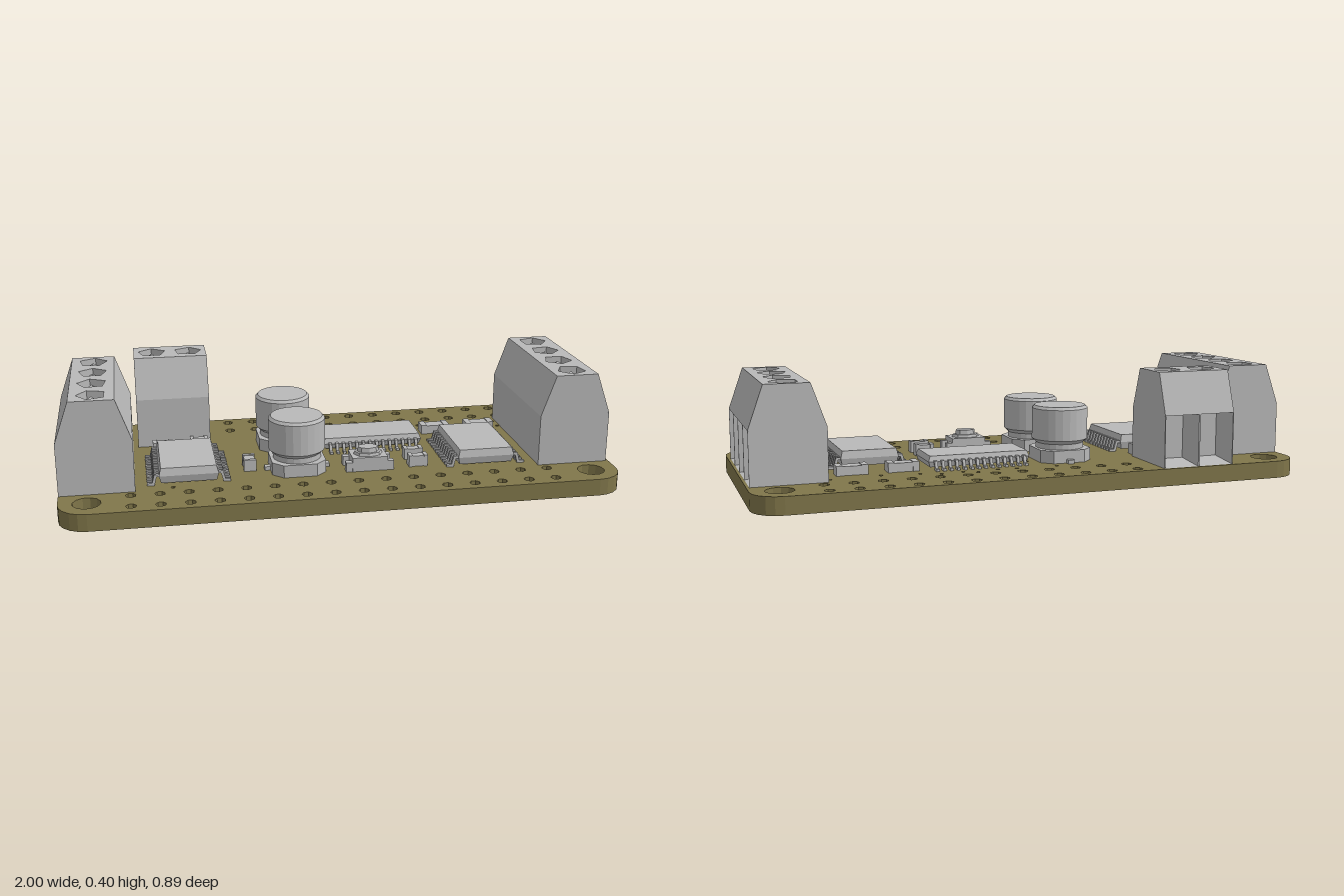
import * as THREE from 'three';
import { mergeGeometries } from 'three/addons/utils/BufferGeometryUtils.js';

const TOP = 0.062; // upper surface of the board
const PITCH = 0.1375; // spacing of the terminal ways

// Faceted normals on every part
function flat(geo) {
  const g = geo.index ? geo.toNonIndexed() : geo;
  g.computeVertexNormals();
  return g;
}

function mesh(name, geo, mat) {
  const m = new THREE.Mesh(flat(geo), mat);
  m.name = name;
  return m;
}

const poly = (pts) => new THREE.Shape(pts.map(([x, y]) => new THREE.Vector2(x, y)));
const extrude = (shape, depth) => new THREE.ExtrudeGeometry(shape, { depth, bevelEnabled: false });
// Plan outline (x, -z) raised from height y0 to y1
const raise = (shape, y0, y1) => extrude(shape, y1 - y0).rotateX(-Math.PI / 2).translate(0, y0, 0);

function ring(x, z, r, n, phase = 0.3) {
  return Array.from({ length: n }, (_, i) => {
    const a = phase + (i / n) * Math.PI * 2;
    return [x + r * Math.cos(a), -z + r * Math.sin(a)];
  });
}

function makeBoard(mat) {
  const w = 0.998, d = 0.447, r = 0.1, outline = [];
  [[1, 1], [-1, 1], [-1, -1], [1, -1]].forEach(([sx, sy], q) => {
    for (let i = 0; i <= 5; i++) {
      const a = (q + i / 5) * Math.PI / 2;
      outline.push([sx * (w - r) + r * Math.cos(a), sy * (d - r) + r * Math.sin(a)]);
    }
  });
  const shape = poly(outline);
  const hole = (x, z, rad, n) => shape.holes.push(poly(ring(x, z, rad, n)));
  // Mounting holes
  for (const x of [-0.9, 0.9]) for (const z of [-0.35, 0.35]) hole(x, z, 0.049, 12);
  // Header rows
  for (let i = 0; i < 16; i++) {
    const x = -0.752 + i * 0.1;
    for (const z of [0.305, 0.4]) hole(x, z, 0.019, 7);
    if (i > 3) for (const z of [-0.405, -0.31]) hole(x, z, 0.019, 7);
  }
  // Vias
  const vias = [[-0.1, -0.26], [-0.03, -0.14], [0.05, -0.255], [0.12, -0.25], [0.2, -0.275], [0.25, -0.255],
    [0.33, -0.265], [0.4, -0.24], [0.535, -0.22], [0.715, -0.235], [0.715, -0.18],
    [0.06, 0.09], [0.115, 0.1], [0.165, 0.085], [-0.605, 0.255]];
  vias.forEach(([x, z]) => hole(x, z, 0.008, 5));
  return mesh('circuitBoard', raise(shape, 0, TOP), mat);
}

// Screw terminal with wire openings towards local +x
function makeTerminal(name, ways, mat) {
  const g = new THREE.Group(), L = ways * PITCH, out = 0.131, back = 0.03;
  g.name = name;
  const body = extrude(poly([[-out, TOP], [out, TOP], [back, 0.078], [back, 0.24], [out, 0.25],
    [0.0886, 0.37], [-0.0886, 0.37], [-out, 0.25]]), L).translate(0, 0, -L / 2);
  g.add(mesh('terminalBody', body, mat));

  // Top slab with faceted screw wells, narrowing upwards
  const slab = poly([[-0.0886, -L / 2], [0.0886, -L / 2], [0.0886, L / 2], [-0.0886, L / 2]]);
  const screws = [];
  for (let i = 0; i < ways; i++) {
    const z = (i - (ways - 1) / 2) * PITCH;
    slab.holes.push(poly(ring(0, z, 0.053, 5, i * 1.1)));
    screws.push(new THREE.ConeGeometry(0.045, 0.026, 3).rotateY(i * 1.7).translate(0, 0.382, z));
  }
  const cap = raise(slab, 0.37, 0.4), p = cap.attributes.position;
  for (let i = 0; i < p.count; i++) {
    if (p.getY(i) > 0.39 && Math.abs(p.getX(i)) > 0.075) p.setX(i, Math.sign(p.getX(i)) * 0.078);
  }
  g.add(mesh('terminalTop', cap, mat), mesh('screws', mergeGeometries(screws), mat));

  // Tapered walls between the wire openings
  const walls = [];
  for (let i = 0; i <= ways; i++) {
    const z = i * PITCH - L / 2, a = i > 0 ? 1 : 0, b = i < ways ? 1 : 0;
    walls.push(raise(poly([[back, -z - 0.014 * b], [out, -z - 0.003 * b],
      [out, -z + 0.003 * a], [back, -z + 0.014 * a]]), TOP, 0.249));
  }
  g.add(mesh('openingWalls', mergeGeometries(walls), mat));
  return g;
}

// Box whose top and bottom edges are drawn in around the middle
function chamferBox(w, h, d, inset) {
  const geo = new THREE.BoxGeometry(w, h, d, 1, 2, 1), p = geo.attributes.position;
  for (let i = 0; i < p.count; i++) {
    if (Math.abs(p.getY(i)) < 1e-4) continue;
    p.setX(i, p.getX(i) - Math.sign(p.getX(i)) * inset);
    p.setZ(i, p.getZ(i) - Math.sign(p.getZ(i)) * inset);
  }
  return geo;
}

// Chip with rows of bent pins on its two long sides (local ±x)
function makeChip(name, w, len, span, pins, top, mat) {
  const g = new THREE.Group(), h = top - 0.07, mid = 0.07 + h / 2, e = w / 2 - 0.01, s = span / 2;
  g.name = name;
  g.add(mesh('chipBody', chamferBox(w, h, len, 0.007).translate(0, mid, 0), mat));
  const k = e + (s - e) * 0.5;
  const pin = poly([[e, mid - 0.004], [k - 0.008, mid - 0.004], [k, TOP], [s, TOP], [s, TOP + 0.009],
    [k + 0.008, TOP + 0.009], [k, mid + 0.005], [e, mid + 0.005]]);
  const list = [];
  for (let i = 0; i < pins; i++) {
    const z = (i - (pins - 1) / 2) * 0.0255;
    for (const turn of [0, Math.PI]) {
      list.push(extrude(pin, 0.011).translate(0, 0, -0.0055).rotateY(turn).translate(0, 0, z));
    }
  }
  g.add(mesh('chipPins', mergeGeometries(list), mat));
  return g;
}

function makeCapacitor(mat) {
  const g = new THREE.Group(), a = 0.098, c = 0.06;
  g.name = 'capacitor';
  const base = poly([[a, -c], [a, c], [c, a], [-c, a], [-a, c], [-a, -c], [-c, -a], [c, -a]]);
  g.add(mesh('capacitorBase', raise(base, TOP, 0.108), mat));
  const profile = [[0.088, 0.1], [0.088, 0.128], [0.103, 0.142], [0.103, 0.255], [0.094, 0.265], [0, 0.265]];
  g.add(mesh('capacitorCan', new THREE.LatheGeometry(profile.map(([x, y]) => new THREE.Vector2(x, y)), 24), mat));
  for (const s of [-1, 1]) {
    g.add(mesh('capacitorTab', new THREE.BoxGeometry(0.024, 0.014, 0.03).translate(0, TOP + 0.007, s * 0.104), mat));
  }
  return g;
}

function makeButton(mat) {
  const g = new THREE.Group();
  g.name = 'pushButton';
  g.add(mesh('buttonBase', new THREE.BoxGeometry(0.13, 0.052, 0.095).translate(0, TOP + 0.026, 0), mat));
  for (const sx of [-1, 1]) for (const sz of [-1, 1]) {
    g.add(mesh('buttonFoot', new THREE.BoxGeometry(0.03, 0.035, 0.026).translate(sx * 0.073, TOP + 0.0175, sz * 0.034), mat));
  }
  g.add(mesh('buttonCollar', new THREE.CylinderGeometry(0.05, 0.054, 0.01, 8).scale(1, 1, 0.75).translate(0, 0.119, 0), mat));
  g.add(mesh('buttonCap', new THREE.CylinderGeometry(0.037, 0.04, 0.018, 8).scale(1, 1, 0.72).translate(0, 0.132, 0), mat));
  return g;
}

// Small block part with slightly larger end caps
function makeBlock(x, z, w, d, h, mat) {
  const g = new THREE.Group(), alongX = w > d, cap = 0.2;
  g.name = 'surfacePart';
  g.add(mesh('partBody', new THREE.BoxGeometry(w - 0.006, h - 0.003, d - 0.006).translate(0, (h - 0.003) / 2, 0), mat));
  for (const s of [-1, 1]) {
    const geo = alongX ? new THREE.BoxGeometry(w * cap, h, d) : new THREE.BoxGeometry(w, h, d * cap);
    const off = s * (0.5 - cap / 2);
    g.add(mesh('partEnd', geo.translate(alongX ? off * w : 0, h / 2, alongX ? 0 : off * d), mat));
  }
  g.position.set(x, TOP, z);
  return g;
}

export function createModel() {
  const olive = new THREE.MeshStandardMaterial({ color: 0x80764a });
  olive.name = 'olive board';
  const grey = new THREE.MeshStandardMaterial({ color: 0xb8b8b8 });
  grey.name = 'grey components';

  const model = new THREE.Group();
  model.name = 'circuitBoardAssembly';
  const place = (part, x, z, turn = 0) => {
    part.position.set(x, 0, z);
    part.rotation.y = turn;
    model.add(part);
  };

  model.add(makeBoard(olive));
  place(makeTerminal('leftTerminal', 4, grey), 0.857, -0.002);
  place(makeTerminal('rightTerminal', 4, grey), -0.866, 0, Math.PI);
  place(makeTerminal('backTerminal', 2, grey), -0.578, -0.306, Math.PI / 2);
  place(makeChip('rightChip', 0.21, 0.305, 0.295, 12, 0.125, grey), -0.547, 0.085);
  place(makeChip('leftChip', 0.21, 0.305, 0.295, 12, 0.125, grey), 0.537, 0.09);
  place(makeChip('middleChip', 0.175, 0.378, 0.255, 14, 0.11, grey), 0.165, -0.095, Math.PI / 2);
  place(makeCapacitor(grey), -0.165, -0.125);
  place(makeCapacitor(grey), -0.15, 0.14, Math.PI / 2);
  place(makeButton(grey), 0.107, 0.175);

  // Resistors and small capacitors: x, z, width, depth, height
  [[-0.625, -0.13, 0.074, 0.044, 0.035], [-0.487, -0.133, 0.066, 0.044, 0.04], [-0.322, 0.115, 0.045, 0.07, 0.043],
    [0.29, 0.115, 0.07, 0.038, 0.043], [0.29, 0.19, 0.07, 0.038, 0.043],
    [0.445, -0.16, 0.112, 0.054, 0.035], [0.627, -0.16, 0.112, 0.054, 0.035]]
    .forEach((b) => model.add(makeBlock(...b, grey)));
  return model;
}
